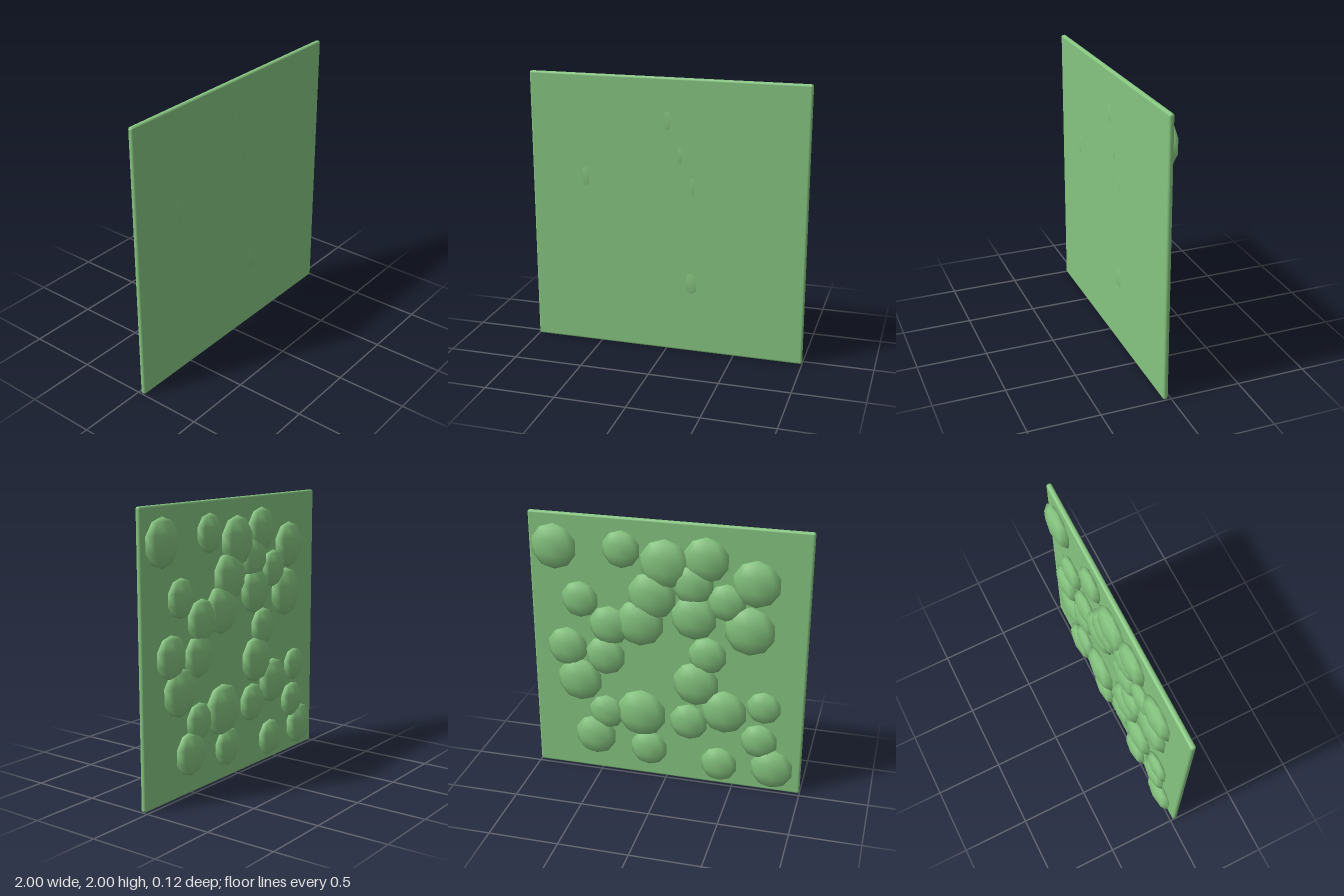
import * as THREE from 'three';
import { RoundedBoxGeometry } from 'three/addons/geometries/RoundedBoxGeometry.js';

// Leaf clumps: x, y, radius
const CLUMPS = [
  [0.81, 1.76, 0.168], [0.32, 1.78, 0.137], [0.01, 1.70, 0.18], [-0.28, 1.755, 0.162],
  [0.63, 1.38, 0.137], [0.10, 1.46, 0.177], [-0.63, 1.615, 0.17], [-0.19, 1.57, 0.15],
  [0.415, 1.20, 0.15], [0.19, 1.245, 0.176], [-0.20, 1.325, 0.165], [-0.43, 1.46, 0.137],
  [-0.595, 1.265, 0.181], [0.735, 1.0, 0.152], [0.45, 0.96, 0.15], [0.65, 0.745, 0.17],
  [-0.30, 1.045, 0.14], [-0.22, 0.815, 0.17], [0.185, 0.525, 0.187], [0.45, 0.50, 0.135],
  [0.54, 0.295, 0.158], [0.13, 0.24, 0.14], [-0.17, 0.50, 0.142], [-0.43, 0.615, 0.168],
  [-0.715, 0.685, 0.125], [-0.69, 0.41, 0.135], [-0.79, 0.195, 0.157], [-0.40, 0.178, 0.137],
];

export function createModel() {
  const group = new THREE.Group();
  const green = new THREE.MeshStandardMaterial({ color: 0x85c47f });

  // Thin square panel with rounded edges
  const panel = new THREE.Mesh(new RoundedBoxGeometry(2, 2, 0.037, 3, 0.016), green);
  panel.name = 'panel';
  panel.position.set(0, 1, 0.0385);
  group.add(panel);

  // Flattened low-sided spheres sunk into the back of the panel
  const clumps = new THREE.Group();
  clumps.name = 'leafClumps';
  const ball = new THREE.SphereGeometry(1, 8, 5);
  for (const [x, y, r] of CLUMPS) {
    const clump = new THREE.Mesh(ball, green);
    clump.name = 'leafClump';
    clump.position.set(x, y, 0);
    clump.scale.set(r, r, r * 0.35);
    clumps.add(clump);
  }
  group.add(clumps);
  return group;
}
